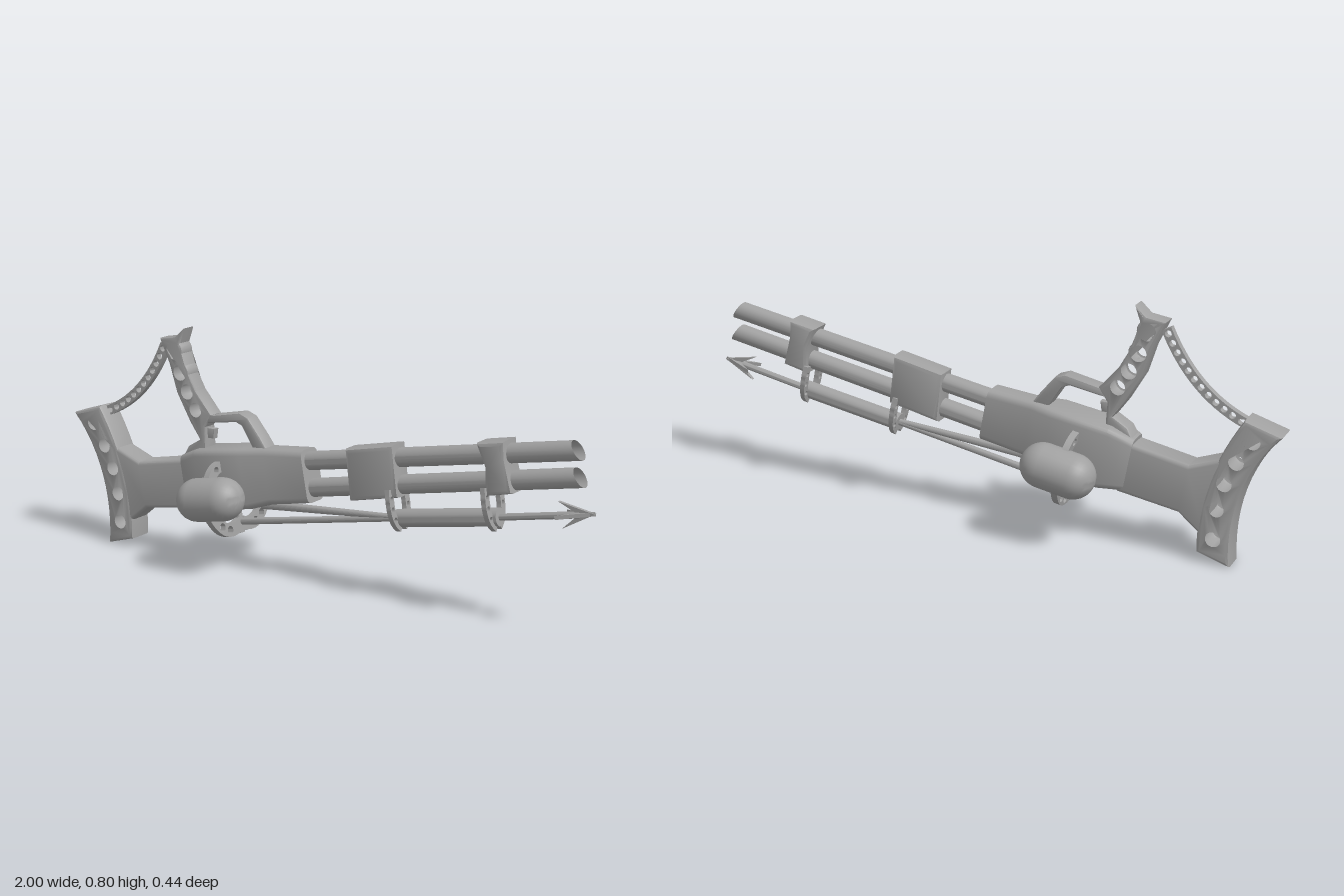
import * as THREE from 'three';
import { toCreasedNormals, mergeVertices } from 'three/addons/utils/BufferGeometryUtils.js';

const TILT = 0.18; // upward pitch of the barrel line
const grey = new THREE.MeshStandardMaterial({ color: 0xa0a0a0, side: THREE.DoubleSide });
grey.name = 'grey metal';
const V2 = (p) => new THREE.Vector2(p[0], p[1]);

export function createModel() {
  const model = new THREE.Group();

  function add(name, geo, parent = model) {
    const mesh = new THREE.Mesh(toCreasedNormals(geo, 0.6), grey);
    mesh.name = name;
    parent.add(mesh);
    return mesh;
  }

  // Plate centred on z = 0, with round holes [x, y, r]
  function plateGeo(shape, depth, bevel = 0, holes = []) {
    for (const [x, y, r] of holes) {
      shape.holes.push(new THREE.Path().absarc(x, y, r, 0, Math.PI * 2, true));
    }
    const geo = new THREE.ExtrudeGeometry(shape, {
      depth: depth - 2 * bevel, curveSegments: 12, bevelEnabled: bevel > 0,
      bevelSize: bevel, bevelThickness: bevel, bevelOffset: -bevel, bevelSegments: 2,
    });
    return geo.translate(0, 0, -depth / 2 + bevel);
  }
  const poly = (pts) => new THREE.Shape(pts.map(V2));

  // Perforated strip following a quadratic curve
  function stripGeo(a, c, b, half, depth, holeAt, r) {
    const curve = new THREE.QuadraticBezierCurve(V2(a), V2(c), V2(b));
    const up = [], low = [];
    for (let i = 0; i <= 14; i++) {
      const p = curve.getPoint(i / 14), t = curve.getTangent(i / 14);
      up.push([p.x - t.y * half, p.y + t.x * half]);
      low.unshift([p.x + t.y * half, p.y - t.x * half]);
    }
    const holes = holeAt.map((u) => {
      const p = curve.getPointAt(u);
      return [p.x, p.y, r];
    });
    return plateGeo(poly([...up, ...low]), depth, 0, holes);
  }

  // Round bar between two points in the centre plane
  function rod(name, a, b, r0, r1 = r0, open = false, shear = 0) {
    const dx = b[0] - a[0], dy = b[1] - a[1];
    const geo = new THREE.CylinderGeometry(r1, r0, Math.hypot(dx, dy), 24, 1, open);
    const pos = geo.attributes.position;
    for (let i = 0; i < pos.count; i++) {
      if (pos.getY(i) > 0) pos.setY(i, pos.getY(i) + shear * pos.getX(i));
    }
    const mesh = add(name, geo);
    mesh.position.set((a[0] + b[0]) / 2, (a[1] + b[1]) / 2, 0);
    mesh.rotation.z = Math.atan2(dy, dx) - Math.PI / 2;
    return mesh;
  }

  // Rounded-rectangle loft along the tilted axis; sections [x, y, halfHeight, halfWidth]
  function loft(name, sections, r) {
    const pos = [], idx = [], n = 16;
    for (const [x, y, h, w] of sections) {
      for (let k = 0; k < n; k++) {
        const q = Math.floor(k / 4), ang = (q + (k % 4) / 3) * Math.PI / 2;
        const z = (q === 0 || q === 3 ? 1 : -1) * (w - r) + r * Math.cos(ang);
        const v = (q < 2 ? 1 : -1) * (h - r) + r * Math.sin(ang);
        pos.push(x - v * Math.sin(TILT), y + v * Math.cos(TILT), z);
      }
    }
    for (let s = 0; s < sections.length - 1; s++) {
      for (let k = 0; k < n; k++) {
        const a = s * n + k, b = s * n + (k + 1) % n;
        idx.push(a, b, a + n, b, b + n, a + n);
      }
    }
    const last = (sections.length - 1) * n;
    for (let k = 1; k < n - 1; k++) {
      idx.push(0, k + 1, k, last, last + k, last + k + 1);
    }
    const geo = new THREE.BufferGeometry();
    geo.setAttribute('position', new THREE.Float32BufferAttribute(pos, 3));
    geo.setIndex(idx);
    // Faces wind outward for +x travel
    for (let i = 0; i < idx.length; i += 3) [idx[i], idx[i + 1]] = [idx[i + 1], idx[i]];
    geo.setIndex(idx);
    const merged = mergeVertices(geo);
    merged.computeVertexNormals();
    return add(name, merged);
  }

  // Curved shoulder plate with five lightening holes
  const butt = new THREE.Shape();
  butt.moveTo(-1, 0.46);
  butt.lineTo(-0.88, 0.497);
  butt.bezierCurveTo(-0.79, 0.36, -0.735, 0.2, -0.745, 0.037);
  butt.lineTo(-0.855, 0.004);
  butt.bezierCurveTo(-0.84, 0.17, -0.88, 0.33, -1, 0.46);
  add('shoulderPlate', plateGeo(butt, 0.094, 0.012, [
    [-0.909, 0.433, 0.037], [-0.861, 0.358, 0.037], [-0.826, 0.281, 0.037],
    [-0.805, 0.193, 0.037], [-0.799, 0.091, 0.037]]));

  // Stock and receiver
  loft('stock', [[-0.79, 0.225, 0.138, 0.045], [-0.695, 0.24, 0.083, 0.045],
    [-0.49, 0.277, 0.086, 0.045]], 0.014);
  loft('receiver', [[-0.51, 0.283, 0.09, 0.046], [-0.43, 0.302, 0.106, 0.07],
    [-0.24, 0.335, 0.103, 0.07], [-0.165, 0.35, 0.095, 0.047],
    [-0.01, 0.373, 0.088, 0.047]], 0.022);

  // Upper grip with holes, trigger and guard
  add('grip', plateGeo(poly([[-0.615, 0.765], [-0.55, 0.775], [-0.513, 0.807], [-0.53, 0.755],
    [-0.503, 0.668], [-0.465, 0.6], [-0.4, 0.525], [-0.43, 0.48], [-0.425, 0.4], [-0.52, 0.37],
    [-0.5, 0.405], [-0.45, 0.435], [-0.49, 0.49], [-0.545, 0.585], [-0.575, 0.68]]), 0.062, 0.008, [
    [-0.556, 0.727, 0.037], [-0.529, 0.655, 0.035], [-0.5, 0.593, 0.034], [-0.465, 0.535, 0.033]]));
  add('guard', plateGeo(poly([[-0.42, 0.52], [-0.285, 0.548], [-0.25, 0.535], [-0.2, 0.475],
    [-0.16, 0.42], [-0.22, 0.42], [-0.275, 0.505], [-0.3, 0.515], [-0.42, 0.495]]), 0.056, 0.006));
  add('trigger', plateGeo(poly([[-0.44, 0.475], [-0.4, 0.475], [-0.405, 0.44], [-0.44, 0.44]]), 0.025, 0.004));

  // Perforated strap from shoulder plate to grip
  const strapHoles = Array.from({ length: 12 }, (_, i) => (i + 0.5) / 12);
  add('strap', stripGeo([-0.875, 0.475], [-0.7, 0.545], [-0.61, 0.74], 0.017, 0.022, strapHoles, 0.011));

  // Twin open barrels with slanted muzzles
  rod('upperBarrel', [-0.03, 0.418], [0.936, 0.594], 0.031, 0.031, true, 0.42);
  rod('lowerBarrel', [-0.03, 0.327], [0.946, 0.513], 0.031, 0.031, true, 0.42);

  // Barrel bands
  add('middleBand', plateGeo(poly([[0.14, 0.49], [0.32, 0.528], [0.342, 0.36], [0.16, 0.32]]), 0.085, 0.016));
  add('frontBand', plateGeo(poly([[0.615, 0.578], [0.711, 0.597], [0.717, 0.535], [0.743, 0.438],
    [0.652, 0.417], [0.647, 0.508]]), 0.09, 0.014));

  // Launcher tube and rods beneath the barrels
  rod('launchTube', [0.32, 0.283], [0.685, 0.348], 0.029);
  rod('shaft', [0.68, 0.347], [0.95, 0.4], 0.011);
  rod('tailRod', [-0.315, 0.164], [0.33, 0.284], 0.012, 0.01);
  rod('braceRod', [-0.21, 0.24], [0.33, 0.286], 0.015, 0.009);

  // Crossed barbed point
  const point = new THREE.Group();
  point.name = 'barbedPoint';
  point.position.set(1, 0.41, 0);
  point.rotation.z = TILT;
  for (const turn of [0, Math.PI / 2]) {
    const barb = add('barb', plateGeo(poly([[0, 0], [-0.115, 0.042], [-0.065, 0.008],
      [-0.065, -0.008], [-0.115, -0.042]]), 0.012), point);
    barb.rotation.x = turn;
  }
  model.add(point);

  // Cross-plane group: local x runs sideways, local y up, square to the barrels
  function crossGroup(name, x, y) {
    const tilted = new THREE.Group(), turned = new THREE.Group();
    tilted.name = name;
    tilted.position.set(x, y, 0);
    tilted.rotation.z = TILT;
    turned.rotation.y = -Math.PI / 2;
    tilted.add(turned);
    model.add(tilted);
    return turned;
  }
  const front = crossGroup('frontClamp', 0.667, 0.345);
  const rear = crossGroup('rearClamp', 0.328, 0.285);
  const yoke = crossGroup('tankYoke', -0.305, 0.163);

  for (const s of [1, -1]) {
    // Perforated clamp legs
    for (const clamp of [front, rear]) {
      add('clampLeg', stripGeo([s * 0.04, 0.1], [s * 0.06, 0.0], [s * 0.01, -0.03],
        0.013, 0.016, [0.2, 0.45, 0.7], 0.008), clamp);
    }
    // Yoke arms carrying the side tanks
    add('lowerArm', stripGeo([0, 0], [s * 0.095, -0.045], [s * 0.15, 0.06],
      0.022, 0.022, [0.4, 0.63], 0.015), yoke);
    add('upperArm', stripGeo([s * 0.04, 0.205], [s * 0.1, 0.215], [s * 0.135, 0.16],
      0.018, 0.022, [0.5], 0.012), yoke);
    // Round-ended tanks
    const tank = add('tank', new THREE.CapsuleGeometry(0.073, 0.105, 10, 28));
    tank.position.set(-0.317, 0.274, s * 0.146);
    tank.rotation.z = TILT - Math.PI / 2;
  }
  rod('yokePin', [-0.318, 0.215], [-0.302, 0.128], 0.014);

  return model;
}
